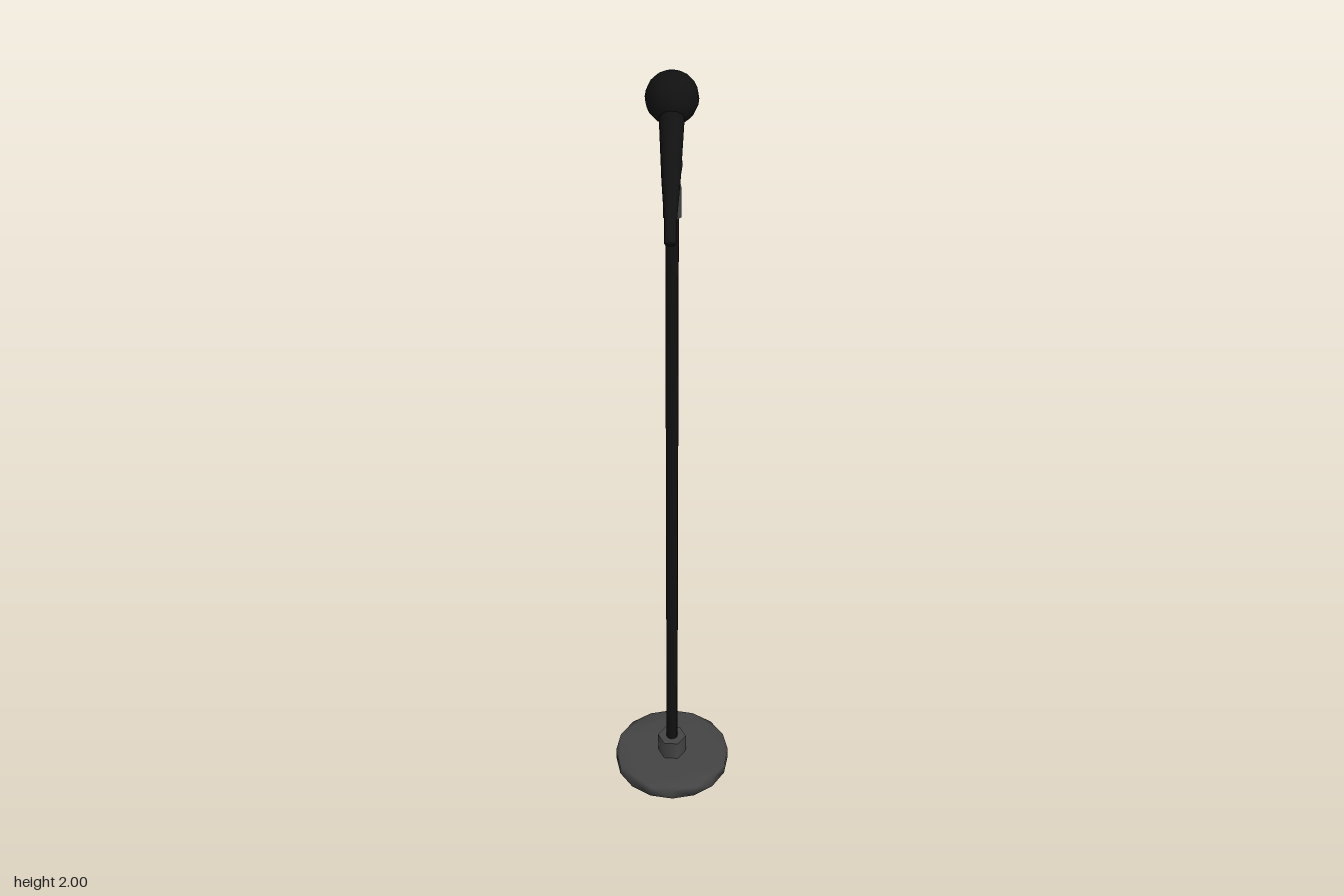
import * as THREE from 'three';
import { mergeVertices } from 'three/addons/utils/BufferGeometryUtils.js';

const BLACK = new THREE.MeshStandardMaterial({ color: 0x111111 });
const GREY = new THREE.MeshStandardMaterial({ color: 0x444444 });

// Share corners so that shading runs smoothly across the low-poly edges
function smooth(geometry) {
  geometry.deleteAttribute('normal');
  geometry.deleteAttribute('uv');
  const merged = mergeVertices(geometry, 1e-4);
  merged.computeVertexNormals();
  return merged;
}

function part(parent, name, geometry, material) {
  const mesh = new THREE.Mesh(geometry, material);
  mesh.name = name;
  parent.add(mesh);
  return mesh;
}

// Upright tapered cylinder given by its bottom and top heights
function post(parent, name, y0, y1, r0, r1, sides, material) {
  const geometry = new THREE.CylinderGeometry(r1, r0, y1 - y0, sides);
  geometry.translate(0, (y0 + y1) / 2, 0);
  return part(parent, name, geometry, material);
}

export function createModel() {
  const model = new THREE.Group();
  model.name = 'microphoneStand';

  // Round foot: a 16-sided disc
  const rim = [];
  for (let i = 0; i < 16; i++) {
    const a = (i / 16) * Math.PI * 2 - 0.05;
    rim.push(new THREE.Vector2(Math.cos(a) * 0.158, Math.sin(a) * 0.158));
  }
  const disc = new THREE.ExtrudeGeometry(new THREE.Shape(rim), { depth: 0.031, bevelEnabled: false });
  disc.rotateX(-Math.PI / 2);
  part(model, 'base', smooth(disc), GREY);

  // Hexagonal hub, pole and the grey joint on top
  post(model, 'hub', 0.03, 0.088, 0.039, 0.039, 6, GREY);
  post(model, 'pole', 0.03, 1.73, 0.0155, 0.0155, 10, BLACK);
  post(model, 'joint', 1.712, 1.785, 0.022, 0.022, 8, GREY);
  post(model, 'clip', 1.785, 1.842, 0.016, 0.025, 8, GREY);

  // Microphone, built along +y from its tail and then tilted into place
  const tail = new THREE.Vector3(-0.084, 1.741, 0.165);
  const head = new THREE.Vector3(0.055, 1.94, -0.114);
  const axis = head.clone().sub(tail);
  const length = axis.length();
  const microphone = new THREE.Group();
  microphone.name = 'microphone';
  microphone.position.copy(tail);
  microphone.quaternion.setFromUnitVectors(new THREE.Vector3(0, 1, 0), axis.normalize());
  model.add(microphone);

  const profile = [
    [0, 0], [0.013, 0], [0.0145, 0.064], [0.021, 0.155],
    [0.028, 0.3], [0.028, 0.33], [0, 0.33],
  ].map(([r, y]) => new THREE.Vector2(r, y));
  part(microphone, 'handle', new THREE.LatheGeometry(profile, 12), BLACK);

  const ball = part(microphone, 'grille', new THREE.SphereGeometry(0.061, 16, 12), BLACK);
  ball.position.y = length;

  return model;
}
